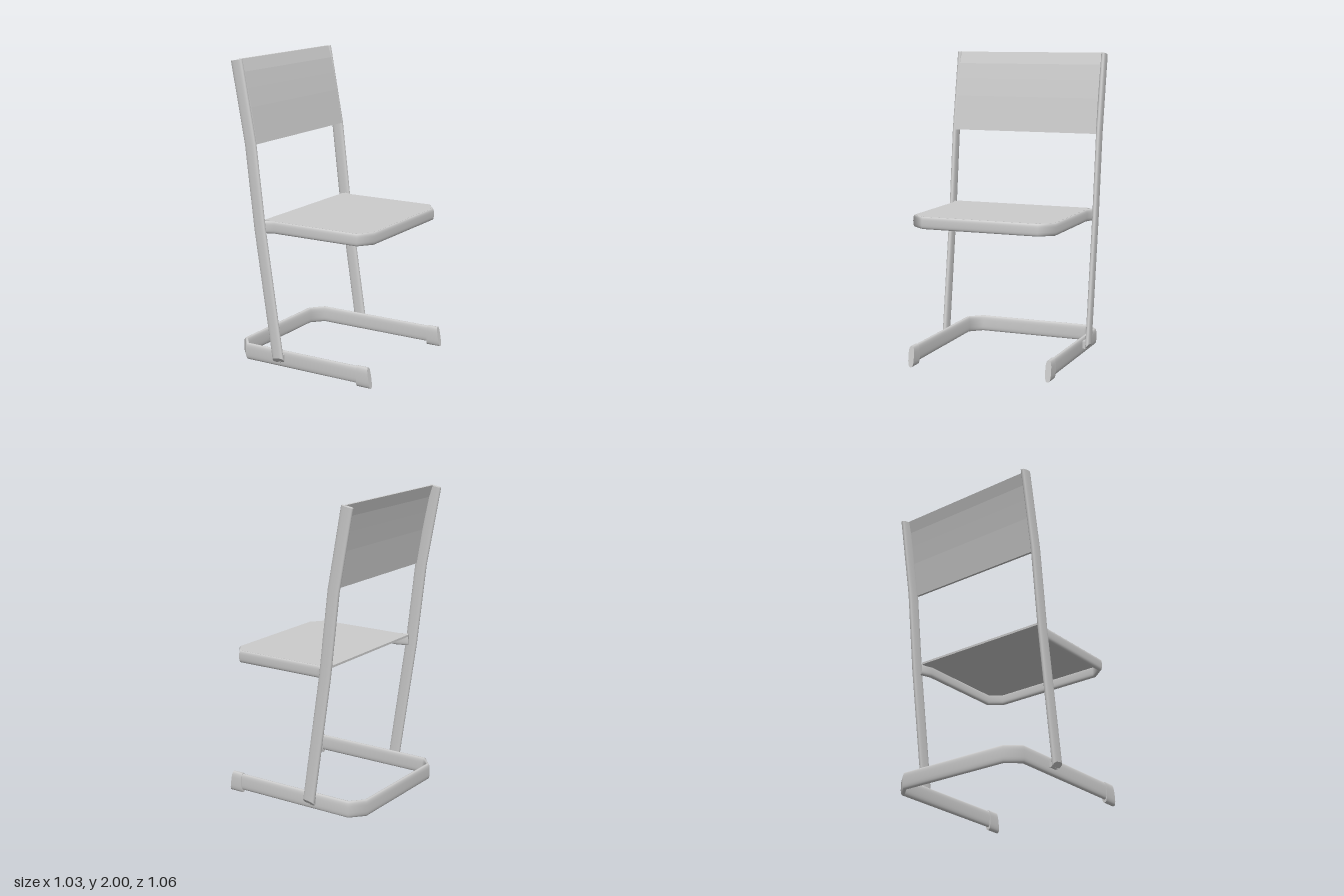
import * as THREE from 'three';

const material = new THREE.MeshStandardMaterial({ color: 0xcccccc, side: THREE.DoubleSide });

function addMesh(parent, name, geometry) {
  const mesh = new THREE.Mesh(geometry, material);
  mesh.name = name;
  parent.add(mesh);
  return mesh;
}

// Sweep a flat oval section along a planar path with mitred bends.
// n: normal of the path's plane; halfM / halfN: half sizes in the plane / along n.
function ovalTube(path, n, halfM, halfN, adjust) {
  const SEG = 24;
  const positions = [];
  const index = [];
  const section = [];
  for (let j = 0; j < SEG; j++) {
    const a = (j / SEG) * Math.PI * 2;
    const c = Math.cos(a), s = Math.sin(a);
    section.push([Math.sign(c) * Math.abs(c) ** 0.7 * halfM, Math.sign(s) * Math.abs(s) ** 0.7 * halfN]);
  }
  const ring = (i) => {
    const before = path[Math.max(i - 1, 0)], here = path[i], after = path[Math.min(i + 1, path.length - 1)];
    const tIn = here.clone().sub(before).normalize();
    const tOut = after.clone().sub(here).normalize();
    const t = tIn.clone().add(tOut).normalize();
    const cos = t.dot(i ? tIn : tOut);
    const m = n.clone().cross(t).divideScalar(cos);
    return section.map(([u, v]) => {
      const p = here.clone().addScaledVector(m, u).addScaledVector(n, v);
      if (adjust) adjust(p, i);
      return p;
    });
  };
  const rings = path.map((_, i) => ring(i));
  rings.forEach((r) => r.forEach((p) => positions.push(p.x, p.y, p.z)));
  for (let i = 0; i < path.length - 1; i++) {
    for (let j = 0; j < SEG; j++) {
      const k = (j + 1) % SEG;
      const a = i * SEG + j, b = i * SEG + k;
      index.push(a, b, b + SEG, a, b + SEG, a + SEG);
    }
  }
  // End caps with their own vertices, so the rims stay sharp
  for (const end of [0, path.length - 1]) {
    const base = positions.length / 3;
    rings[end].forEach((p) => positions.push(p.x, p.y, p.z));
    for (let j = 1; j < SEG - 1; j++) {
      if (end) index.push(base, base + j, base + j + 1);
      else index.push(base, base + j + 1, base + j);
    }
  }
  const g = new THREE.BufferGeometry();
  g.setAttribute('position', new THREE.Float32BufferAttribute(positions, 3));
  g.setIndex(index);
  g.computeVertexNormals();
  return g;
}

// Half of a U path in plan, mirrored to the other side
function mirroredPath(half, y) {
  return [
    ...half.map(([x, z]) => new THREE.Vector3(x, y, z)),
    ...half.slice().reverse().map(([x, z]) => new THREE.Vector3(x, y, -z)),
  ];
}

export function createModel() {
  const chair = new THREE.Group();
  chair.name = 'chair';
  const Y = new THREE.Vector3(0, 1, 0);
  const Z = new THREE.Vector3(0, 0, 1);

  // Floor runner: U open to the seat's front
  addMesh(chair, 'baseFrame', ovalTube(
    mirroredPath([[0.45, 0.469], [-0.425, 0.469], [-0.5, 0.385]], 0.075), Y, 0.015, 0.055));

  // Seat rim: U open to the back, its ends flaring out to the uprights
  addMesh(chair, 'seatFrame', ovalTube(
    mirroredPath([[-0.27, 0.495], [-0.2, 0.47], [0.405, 0.47], [0.47, 0.385]], 0.94), Y, 0.015, 0.04));

  // Thin seat board on top of the rim
  const plan = new THREE.Shape([
    [-0.28, -0.475], [0.405, -0.475], [0.474, -0.387],
    [0.474, 0.387], [0.405, 0.475], [-0.28, 0.475],
  ].map(([x, y]) => new THREE.Vector2(x, y)));
  const seat = new THREE.ExtrudeGeometry(plan, { depth: 0.014, bevelEnabled: false });
  seat.rotateX(-Math.PI / 2).translate(0, 0.966, 0);
  addMesh(chair, 'seatBoard', seat);

  // Curved backrest board, flush with the front of the uprights
  const front = [[-0.303, 1.47], [-0.342, 1.7], [-0.367, 1.82], [-0.389, 1.92], [-0.414, 1.998]];
  const profile = new THREE.Shape([
    ...front.map(([x, y]) => new THREE.Vector2(x, y)),
    ...front.slice().reverse().map(([x, y]) => new THREE.Vector2(x - 0.016, y)),
  ]);
  const back = new THREE.ExtrudeGeometry(profile, { depth: 1.01, bevelEnabled: false });
  back.translate(0, 0, -0.505);
  addMesh(chair, 'backrestBoard', back);

  for (const [side, s] of [['right', 1], ['left', -1]]) {
    // Upright with a bevelled foot
    const upright = [[-0.154, 0.056], [-0.282, 0.93], [-0.345, 1.47], [-0.442, 1.992]]
      .map(([x, y]) => new THREE.Vector3(x, y, s * 0.516));
    addMesh(chair, side + 'Upright', ovalTube(upright, Z, 0.041, 0.016, (p, i) => {
      if (i === 0) p.y += (Math.abs(p.z) - 0.5) * 1.1;
    }));

    // Joint between upright and floor runner
    const joint = addMesh(chair, side + 'Joint', new THREE.BoxGeometry(0.06, 0.05, 0.03));
    joint.position.set(-0.158, 0.085, s * 0.49);

    // Slanted foot sleeve on the runner's tip
    const sleeve = [0.412, 0.5].map((x) => new THREE.Vector3(x, 0.0675, s * 0.468));
    addMesh(chair, side + 'FootSleeve', ovalTube(sleeve, Y, 0.0195, 0.0675, (p, i) => {
      if (i === 1) p.x += (0.0675 - p.y) * 0.16;
    }));
  }
  return chair;
}
